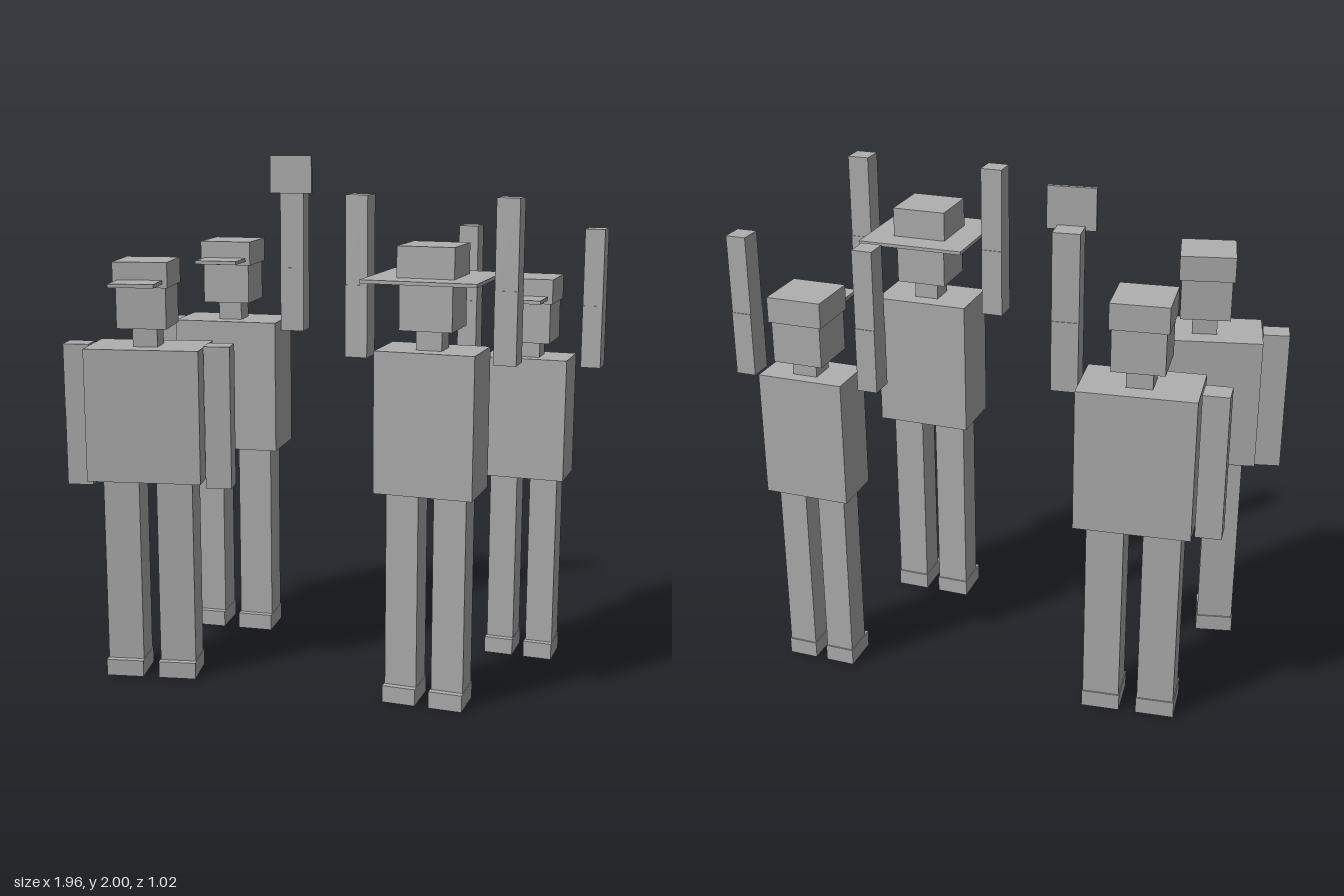
import * as THREE from 'three';

const grey = new THREE.MeshStandardMaterial({ color: 0xb0b0b0 });
grey.name = 'grey';
grey.side = THREE.DoubleSide;

// Box spanning y0..y1, centred on x and z; openBottom leaves the underside hollow
function box(parent, name, w, d, y0, y1, x = 0, z = 0, openBottom = false) {
  const geo = new THREE.BoxGeometry(w, y1 - y0, d);
  if (openBottom) {
    const idx = Array.from(geo.index.array);
    idx.splice(18, 6);
    geo.setIndex(idx);
    geo.clearGroups();
  }
  const mesh = new THREE.Mesh(geo, grey);
  mesh.name = name;
  mesh.position.set(x, (y0 + y1) / 2, z);
  parent.add(mesh);
  return mesh;
}

// Arm in two pieces: sleeve at the shoulder end, forearm at the other
function arm(parent, name, w, [y0, y1], x, raised) {
  const g = new THREE.Group();
  g.name = name;
  const mid = raised ? y0 + (y1 - y0) * 0.45 : y1 - (y1 - y0) * 0.45;
  box(g, raised ? 'sleeve' : 'forearm', w, raised ? 0.094 : 0.088, y0, mid);
  box(g, raised ? 'forearm' : 'sleeve', w, raised ? 0.088 : 0.094, mid, y1);
  g.position.x = x;
  parent.add(g);
}

function figure(f) {
  const g = new THREE.Group();
  g.name = f.name;
  g.position.set(f.at[0], 0, f.at[1]);
  g.rotation.y = f.turn;

  // Legs and hollow shoes
  for (const s of [-1, 1]) {
    const side = s > 0 ? 'left' : 'right';
    box(g, side + 'Leg', f.leg.w, f.leg.d, 0.06, f.torso.y0 + 0.005, s * f.leg.x);
    box(g, side + 'Shoe', f.leg.w + 0.006, f.leg.d + 0.03, 0, 0.065, s * f.leg.x, 0.01, true);
  }

  // Torso, arms and neck
  box(g, 'torso', f.torso.w, f.torso.d, f.torso.y0, f.torso.y1);
  arm(g, 'rightArm', f.arm.w, f.arm.right, -f.arm.x, f.arm.right[0] > 1);
  arm(g, 'leftArm', f.arm.w, f.arm.left, f.arm.x, f.arm.left[0] > 1);
  box(g, 'neck', 0.095, 0.1, f.torso.y1, f.head);

  // Head with a peaked cap or a wide hat
  const h = f.head;
  if (f.wideHat) {
    box(g, 'head', 0.195, 0.2, h, h + 0.175);
    box(g, 'hatBrim', 0.42, 0.415, h + 0.175, h + 0.188);
    box(g, 'hatCrown', 0.21, 0.215, h + 0.188, h + 0.3);
  } else {
    box(g, 'head', 0.19, 0.2, h, h + 0.16);
    box(g, 'cap', 0.208, 0.214, h + 0.155, h + 0.25);
    box(g, 'capPeak', 0.17, 0.14, h + 0.17, h + 0.184, 0, 0.17);
  }

  // Flat panel held up in the left hand
  if (f.panel) box(g, 'heldPanel', 0.172, 0.016, 1.85, 2, f.arm.x, 0.052);
  return g;
}

export function createModel() {
  const model = new THREE.Group();
  model.name = 'figures';
  const figures = [
    { name: 'frontRightFigure', at: [-0.66, 0.26], turn: 0.175, head: 1.38,
      torso: { w: 0.44, d: 0.26, y0: 0.795, y1: 1.305 },
      leg: { w: 0.14, d: 0.135, x: 0.104 },
      arm: { w: 0.1, x: 0.272, right: [0.76, 1.31], left: [0.76, 1.31] } },
    { name: 'backRightFigure', at: [-0.555, -0.37], turn: 0.065, head: 1.405, panel: true,
      torso: { w: 0.425, d: 0.25, y0: 0.795, y1: 1.33 },
      leg: { w: 0.138, d: 0.135, x: 0.104 },
      arm: { w: 0.097, x: 0.265, right: [0.77, 1.325], left: [1.29, 1.865] } },
    { name: 'frontLeftFigure', at: [0.443, 0.237], turn: -0.036, head: 1.415, wideHat: true,
      torso: { w: 0.37, d: 0.235, y0: 0.815, y1: 1.34 },
      leg: { w: 0.122, d: 0.125, x: 0.09 },
      arm: { w: 0.083, x: 0.275, right: [1.3, 1.885], left: [1.3, 1.885] } },
    { name: 'backLeftFigure', at: [0.69, -0.39], turn: -0.04, head: 1.305 - 0.012,
      torso: { w: 0.33, d: 0.2, y0: 0.75, y1: 1.23 },
      leg: { w: 0.108, d: 0.12, x: 0.08 },
      arm: { w: 0.076, x: 0.248, right: [1.2, 1.735], left: [1.2, 1.735] } },
  ];
  for (const f of figures) model.add(figure(f));
  return model;
}
